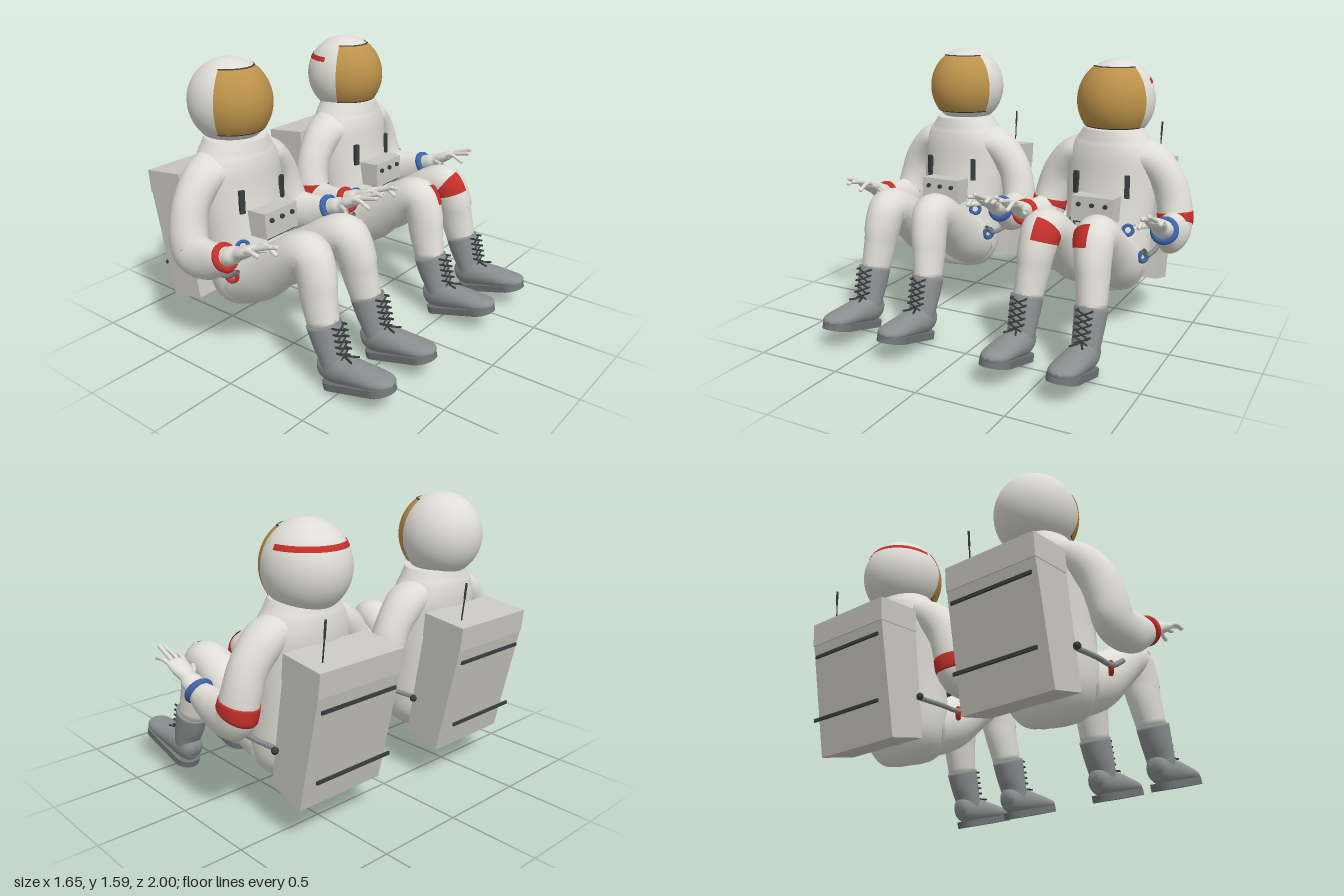
import * as THREE from 'three';

const mat = (name, color) => {
  const m = new THREE.MeshStandardMaterial({ color, side: THREE.DoubleSide });
  m.name = name;
  return m;
};
const M = {
  suit: mat('suit white', 0xdfded6), pack: mat('pack grey', 0xc9c8c0),
  gold: mat('visor gold', 0xbc924a), red: mat('marking red', 0xc4302a),
  blue: mat('marking blue', 0x3c64ab), boot: mat('boot grey', 0x8b8f8f),
  sole: mat('sole grey', 0x707474), dark: mat('trim dark', 0x3a3d3d),
};
const V = (x, y, z) => new THREE.Vector3(x, y, z);

function add(parent, name, geo, material, pos = [0, 0, 0]) {
  const m = new THREE.Mesh(geo, material);
  m.name = name;
  m.position.set(...pos);
  parent.add(m);
  return m;
}

// Smooth skin through elliptical sections [x, y, z, radius in side plane, radius across]
function loft(sections, s = 1, { t0 = 0, t1 = 1, a0 = 0, a1 = Math.PI * 2, grow = 0, steps = 36, sides = 28 } = {}) {
  const path = new THREE.CatmullRomCurve3(sections.map(p => V(p[0], p[1], p[2] * s)), false, 'catmullrom');
  const radii = new THREE.CatmullRomCurve3(sections.map(p => V(p[3], p[4], 0)), false, 'catmullrom');
  const full = a1 - a0 > 6.28, cols = full ? sides : sides + 1;
  const pos = [], idx = [];
  for (let i = 0; i <= steps; i++) {
    const t = t0 + (t1 - t0) * i / steps;
    const c = path.getPoint(t), r = radii.getPoint(t), T = path.getTangent(t);
    const N = V(-T.y, T.x, 0).normalize(), B = T.clone().cross(N);
    for (let j = 0; j < cols; j++) {
      const a = a0 + (a1 - a0) * j / sides;
      const p = c.clone().addScaledVector(N, (r.x + grow) * Math.cos(a)).addScaledVector(B, (r.y + grow) * Math.sin(a));
      pos.push(p.x, p.y, p.z);
    }
  }
  for (let i = 0; i < steps; i++) for (let j = 0; j < sides; j++) {
    const k = (j + 1) % cols, a = i * cols + j, b = i * cols + k;
    idx.push(a, b, a + cols, b, b + cols, a + cols);
  }
  if (full) for (const [row, flip] of [[0, true], [steps, false]]) {
    const o = row * cols;
    for (let j = 1; j < sides - 1; j++) flip ? idx.push(o, o + j + 1, o + j) : idx.push(o, o + j, o + j + 1);
  }
  const g = new THREE.BufferGeometry();
  g.setAttribute('position', new THREE.Float32BufferAttribute(pos, 3));
  g.setIndex(idx);
  g.computeVertexNormals();
  return g;
}

const tube = (pts, r, sides = 8) =>
  new THREE.TubeGeometry(new THREE.CatmullRomCurve3(pts.map(p => V(...p))), 14, r, sides, false);
const rod = (a, b, r) => new THREE.TubeGeometry(new THREE.LineCurve3(V(...a), V(...b)), 1, r, 6, false);

function ring(parent, name, material, pos, axis, R, r) {
  const m = add(parent, name, new THREE.TorusGeometry(R, r, 12, 32), material, pos);
  m.quaternion.setFromUnitVectors(V(0, 0, 1), V(...axis).normalize());
}

// Patch of the helmet ball facing +x; half is the half-width angle
function shell(r, half, top, bottom, back = false) {
  const mid = back ? 0 : Math.PI;
  const g = new THREE.SphereGeometry(r, 40, 24, mid - half, half * 2, top, bottom - top);
  return g.scale(1, 1, 0.94);
}

const TORSO = [[-.30, .2, 0, .04, .06], [-.31, .235, 0, .14, .17], [-.31, .32, 0, .195, .235], [-.32, .45, 0, .21, .26],
  [-.35, .65, 0, .2, .26], [-.37, .85, 0, .19, .27], [-.385, 1, 0, .195, .27], [-.39, 1.08, 0, .19, .24],
  [-.39, 1.13, 0, .18, .205], [-.39, 1.18, 0, .17, .17]];
const ARM = [[-.38, 1.05, .12, .14, .08], [-.39, 1.0, .24, .12, .1], [-.39, .88, .34, .1, .1], [-.38, .74, .385, .105, .1],
  [-.345, .63, .40, .12, .095], [-.23, .625, .41, .115, .08], [-.12, .66, .42, .085, .066], [-.05, .69, .42, .055, .055]];
const HAND = [[-.07, .685, .42, .05, .055], [-.01, .715, .42, .048, .058], [.03, .735, .42, .036, .045],
  [.08, .76, .42, .032, .056], [.13, .785, .42, .024, .055], [.15, .79, .42, .008, .03]];
const LEG = [[-.28, .40, .10, .17, .15], [-.1, .47, .125, .15, .135], [.05, .58, .14, .125, .122], [.18, .68, .145, .112, .115],
  [.27, .70, .15, .108, .108], [.315, .6, .16, .112, .098], [.335, .5, .17, .107, .088], [.375, .35, .182, .09, .078]];
const SHAFT = [[.378, .362, .185, .1, .088], [.41, .27, .185, .092, .082], [.44, .19, .185, .076, .077], [.455, .12, .185, .07, .07]];
const FOOT = [[.36, .12, .185, .02, .03], [.385, .125, .185, .07, .06], [.46, .13, .185, .085, .075], [.58, .145, .185, .07, .08],
  [.72, .16, .185, .047, .08], [.79, .17, .185, .032, .06], [.82, .17, .185, .01, .02]];

function buildArm(parent, s, marked) {
  const g = new THREE.Group();
  g.name = s > 0 ? 'rightArm' : 'leftArm';
  parent.add(g);
  add(g, 'sleeve', loft(ARM, s), M.suit);
  add(g, 'glove', loft(HAND, s, { steps: 20, sides: 18 }), M.suit);
  const tips = [[.24, .775, -.045], [.27, .83, -.02], [.265, .845, .015], [.22, .80, .06]];
  tips.forEach(([x, y, z], i) => {
    const k = (i - 1.5) * .028;
    add(g, 'finger', tube([[.11, .78, s * (.42 + k)], [.17, .805, s * (.42 + k * .6 + z * .5)], [x, y, s * (.42 + z)]], .012), M.suit);
    add(g, 'fingertip', new THREE.SphereGeometry(.012, 8, 6), M.suit, [x, y, s * (.42 + z)]);
  });
  add(g, 'thumb', tube([[.03, .735, s * .39], [.08, .74, s * .35], [.13, .745, s * .32]], .014), M.suit);
  ring(g, 'wristRing', s > 0 ? M.red : M.blue, [-.07, .685, s * .42], [.88, .48, 0], .059, .021);
  if (marked) add(g, 'armBand', loft(ARM, s, { t0: .46, t1: .53, grow: .004, steps: 6 }), M.red);
}

function buildLeg(parent, s, marked) {
  const g = new THREE.Group();
  g.name = s > 0 ? 'rightLeg' : 'leftLeg';
  parent.add(g);
  add(g, 'trouserLeg', loft(LEG, s), M.suit);
  const outer = s > 0 ? .25 : -1.45;
  add(g, 'kneePatch', loft(LEG, s, { t0: .57, t1: .78, a0: outer, a1: outer + 1.2, grow: .004, steps: 10, sides: 10 }), M.suit);
  if (marked) {
    const inner = s > 0 ? -Math.PI : 0;
    add(g, 'kneeBand', loft(LEG, s, { t0: .575, t1: .655, a0: inner, a1: inner + Math.PI, grow: .005, steps: 8, sides: 16 }), M.red);
  }
  // boot
  add(g, 'bootShaft', loft(SHAFT, s, { steps: 16 }), M.boot);
  add(g, 'bootFoot', loft(FOOT, s, { steps: 24 }), M.boot);
  const o = new THREE.Shape();
  o.absarc(.14, 0, .085, -Math.PI / 2, Math.PI / 2);
  o.absarc(-.145, 0, .075, Math.PI / 2, Math.PI * 1.5);
  const sole = new THREE.ExtrudeGeometry(o, { depth: .04, bevelEnabled: false, curveSegments: 14 });
  sole.rotateX(-Math.PI / 2).rotateZ(.29);
  add(g, 'sole', sole, M.sole, [.608, .066, s * .185]);
  // crossed laces and hooks
  const at = (k, z) => [.482 + .04 * k, .375 - .165 * k, s * .185 + z];
  for (let i = 0; i < 5; i++) for (const d of [-1, 1]) {
    add(g, 'lace', rod(at(i / 5, d * .036), at((i + 1) / 5, -d * .036), .005), M.dark);
    const p = at(i / 5, d * .038);
    add(g, 'hook', rod([p[0] - .02, p[1], p[2]], [p[0] + .016, p[1] + .004, p[2]], .006), M.dark);
  }
  for (const d of [-1, 1])
    add(g, 'laceBow', rod([.51, .215, s * .185], [.585, .22, s * .185 + d * .035], .006), M.dark);
}

function buildPack(parent) {
  const g = new THREE.Group();
  g.name = 'backpack';
  parent.add(g);
  const slab = (name, pts, w) => {
    const geo = new THREE.ExtrudeGeometry(new THREE.Shape(pts.map(p => new THREE.Vector2(...p))), { depth: w, bevelEnabled: false });
    add(g, name, geo, M.pack, [0, 0, -w / 2]);
  };
  slab('packBody', [[-.675, .2], [-.46, .257], [-.555, .845], [-.808, .817]], .54);
  slab('packLid', [[-.812, .818], [-.553, .846], [-.565, .978], [-.825, .947]], .546);
  add(g, 'antenna', rod([-.738, .95, -.18], [-.757, 1.12, -.18], .004), M.dark);
  add(g, 'antennaTip', rod([-.752, 1.08, -.18], [-.76, 1.165, -.18], .006), M.dark);
  for (const [x, y] of [[-.805, .745], [-.77, .378]])
    add(g, 'packRail', new THREE.BoxGeometry(.01, .018, .49), M.dark, [x, y, 0]);
}

function buildAstronaut(name, z, marked) {
  const g = new THREE.Group();
  g.name = name;
  g.position.z = z;
  add(g, 'torso', loft(TORSO, 1, { steps: 45, sides: 40 }), M.suit);

  // helmet with visor
  const head = new THREE.Group();
  head.name = 'helmet';
  head.position.set(-.42, marked ? 1.33 : 1.36, 0);
  g.add(head);
  add(head, 'helmetBall', new THREE.SphereGeometry(.238, 48, 32).scale(1, 1, .94), M.suit);
  add(head, 'visor', shell(.242, 1.17, .64, 2.2), M.gold);
  add(head, 'visorTopRim', shell(.244, 1.19, .61, .65), M.dark);
  add(head, 'visorBottomRim', shell(.244, 1.19, 2.19, 2.22), M.dark);
  if (marked) add(head, 'helmetStripe', shell(.241, 1.57, 1.0, 1.13, true), M.red);

  buildPack(g);

  // chest unit with knobs
  const chest = new THREE.Group();
  chest.name = 'chestUnit';
  g.add(chest);
  add(chest, 'chestBox', new THREE.BoxGeometry(.15, .145, .25), M.pack, [-.14, .745, 0]).rotation.z = .05;
  for (const k of [-.08, 0, .08])
    add(chest, 'knob', new THREE.CylinderGeometry(.013, .013, .018, 12).rotateZ(Math.PI / 2), M.dark, [-.062, .775, k]);
  add(chest, 'chestTrim', new THREE.BoxGeometry(.14, .008, .22), M.dark, [-.14, .67, 0]);

  for (const s of [1, -1]) {
    buildArm(g, s, marked);
    buildLeg(g, s, marked);
    add(g, 'chestStrap', new THREE.BoxGeometry(.02, .13, .03), M.dark, [-.205, .868, s * .155]).rotation.y = -s * .35;
    // hip bar and hose rings
    add(g, 'hipBar', tube([[-.52, .47, s * .27], [-.35, .475, s * .29], [-.2, .485, s * .29], [-.11, .54, s * .3]], .014), M.boot);
    add(g, 'hipBarEnd', new THREE.SphereGeometry(.02, 12, 8), M.dark, [-.515, .47, s * .29]);
    ring(g, 'hoseRing', s > 0 ? M.red : M.blue, [-.185, .48, s * .272], [.55, 0, s * .83], .028, .013);
    ring(g, 'bellyRing', M.blue, [-.2, .62, s * .17], [.8, .2, s * .55], .028, .013);
  }
  return g;
}

export function createModel() {
  const model = new THREE.Group();
  model.name = 'seatedAstronauts';
  model.add(buildAstronaut('plainAstronaut', .5, false));
  model.add(buildAstronaut('stripedAstronaut', -.5, true));
  return model;
}
